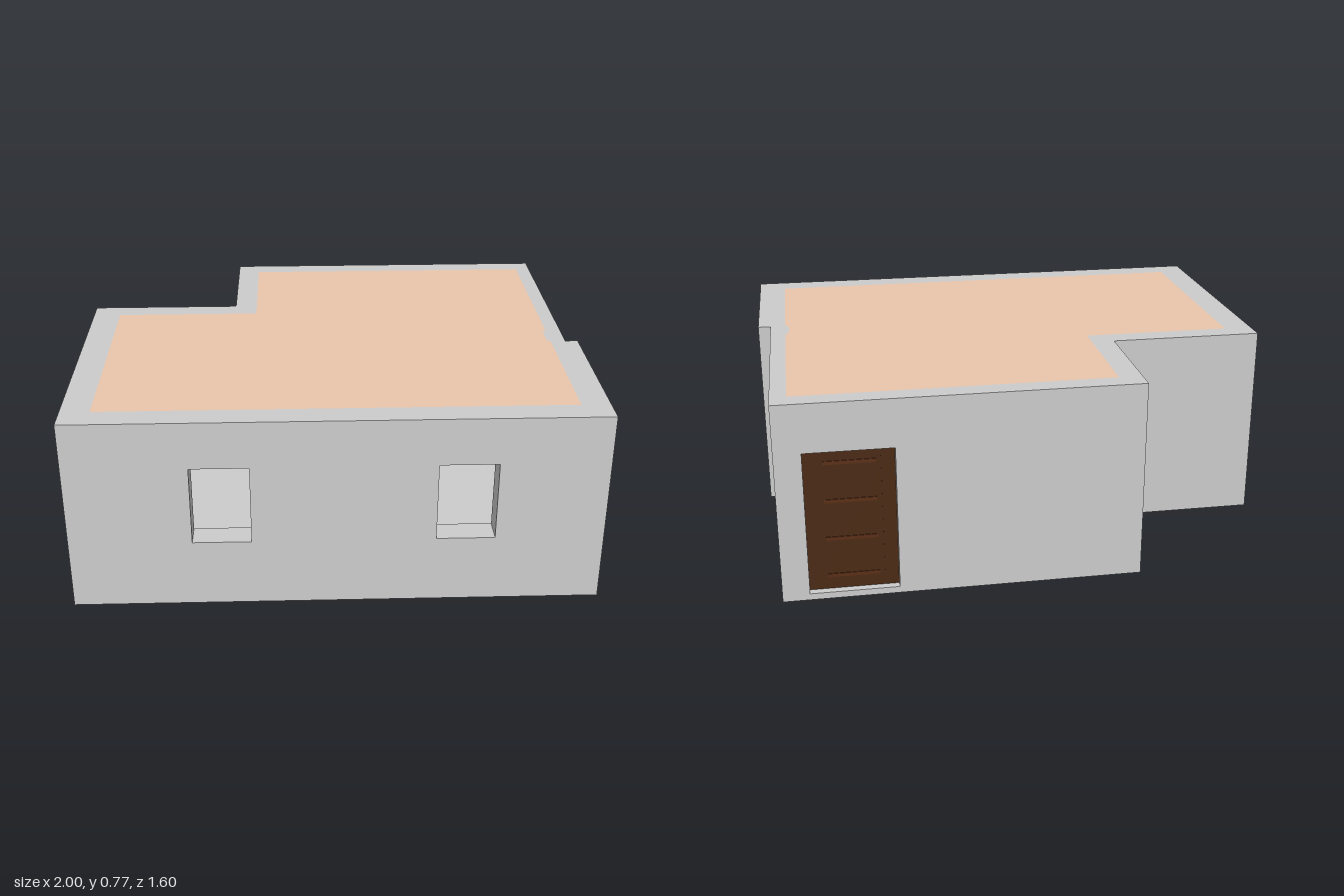
import * as THREE from 'three';

const H = 0.77;
const mat = (color) => new THREE.MeshStandardMaterial({ color, flatShading: true });
const grey = mat(0xcccccc), peach = mat(0xebc5ac), wood = mat(0x4a2a14);
const trim = mat(0x5a2f16), metal = mat(0xd8c8a0);

// Rectangular path from [u0, u1, y0, y1]
function rect(path, [u0, u1, y0, y1]) {
  path.moveTo(u0, y0);
  path.lineTo(u1, y0);
  path.lineTo(u1, y1);
  path.lineTo(u0, y1);
  path.closePath();
  return path;
}

// Upright slab with rectangular openings, u running along the wall
function panel(u0, u1, depth, openings) {
  const shape = rect(new THREE.Shape(), [u0, u1, 0, H]);
  openings.forEach((o) => shape.holes.push(rect(new THREE.Path(), o)));
  return new THREE.ExtrudeGeometry(shape, { depth, bevelEnabled: false });
}

// Horizontal slab from a plan of [x, z] points, between heights y0 and y1
function slab(points, y0, y1) {
  const shape = new THREE.Shape(points.map(([x, z]) => new THREE.Vector2(x, -z)));
  return new THREE.ExtrudeGeometry(shape, { depth: y1 - y0, bevelEnabled: false })
    .rotateX(-Math.PI / 2).translate(0, y0, 0);
}

function add(group, name, geometry, material) {
  const mesh = new THREE.Mesh(geometry, material);
  mesh.name = name;
  group.add(mesh);
  return mesh;
}

export function createModel() {
  const house = new THREE.Group();
  house.name = 'house';

  // Walls running along x: name, x0, x1, z0, z1, openings
  const walls = new THREE.Group();
  walls.name = 'walls';
  house.add(walls);
  const alongX = [
    ['frontWall', -1, 1, 0.70, 0.80, [[-0.54, -0.32, 0.27, 0.583], [0.37, 0.59, 0.27, 0.583]]],
    ['backWall', -0.40, 0.95, -0.80, -0.72, [[0.52, 0.85, 0.025, 0.583]]],
    ['recessedBackWall', -1, -0.40, -0.30, -0.215, []],
  ];
  for (const [name, x0, x1, z0, z1, openings] of alongX) {
    add(walls, name, panel(x0, x1, z1 - z0, openings).translate(0, 0, z0), grey);
  }

  // Walls running along z: name, z0, z1, x0, x1, openings
  const alongZ = [
    ['wideWindowWall', -0.215, 0.70, -1, -0.89, [[-0.04, 0.515, 0.27, 0.583]]],
    ['notchWall', -0.72, -0.215, -0.40, -0.31, []],
    ['thinSideWall', -0.72, 0.12, 0.89, 0.95, []],
    ['thickSideWall', 0.12, 0.70, 0.89, 1, [[0.335, 0.55, 0.27, 0.583]]],
  ];
  for (const [name, z0, z1, x0, x1, openings] of alongZ) {
    const g = panel(z0, z1, x1 - x0, openings).rotateY(-Math.PI / 2).translate(x1, 0, 0);
    add(walls, name, g, grey);
  }

  // Roof and floor fill the inside of the walls, around the small pier
  const inside = [
    [-0.89, 0.70], [0.89, 0.70], [0.89, 0.13], [0.875, 0.10], [0.875, 0.03], [0.89, 0],
    [0.89, -0.72], [-0.31, -0.72], [-0.31, -0.215], [-0.89, -0.215],
  ];
  add(walls, 'wallPier', slab([[0.89, 0.13], [0.89, 0], [0.875, 0.03], [0.875, 0.10]], 0, H), grey);
  add(house, 'floor', slab(inside, 0, 0.015), grey);
  add(house, 'roof', slab(inside, H - 0.03, H), peach);

  // Door set back in the back wall
  const door = new THREE.Group();
  door.name = 'door';
  door.position.set(0.685, 0.304, -0.755);
  house.add(door);
  add(door, 'doorLeaf', new THREE.BoxGeometry(0.33, 0.558, 0.03), wood);
  for (const y of [-0.225, -0.075, 0.075, 0.225]) {
    add(door, 'doorRail', new THREE.BoxGeometry(0.19, 0.014, 0.036), trim).position.y = y;
  }
  for (const x of [-0.12, 0.12]) {
    add(door, 'doorStile', new THREE.BoxGeometry(0.012, 0.54, 0.034), wood).position.x = x;
  }
  add(door, 'doorKnob', new THREE.SphereGeometry(0.008, 12, 8), metal).position.set(-0.14, -0.004, 0.021);

  return house;
}
